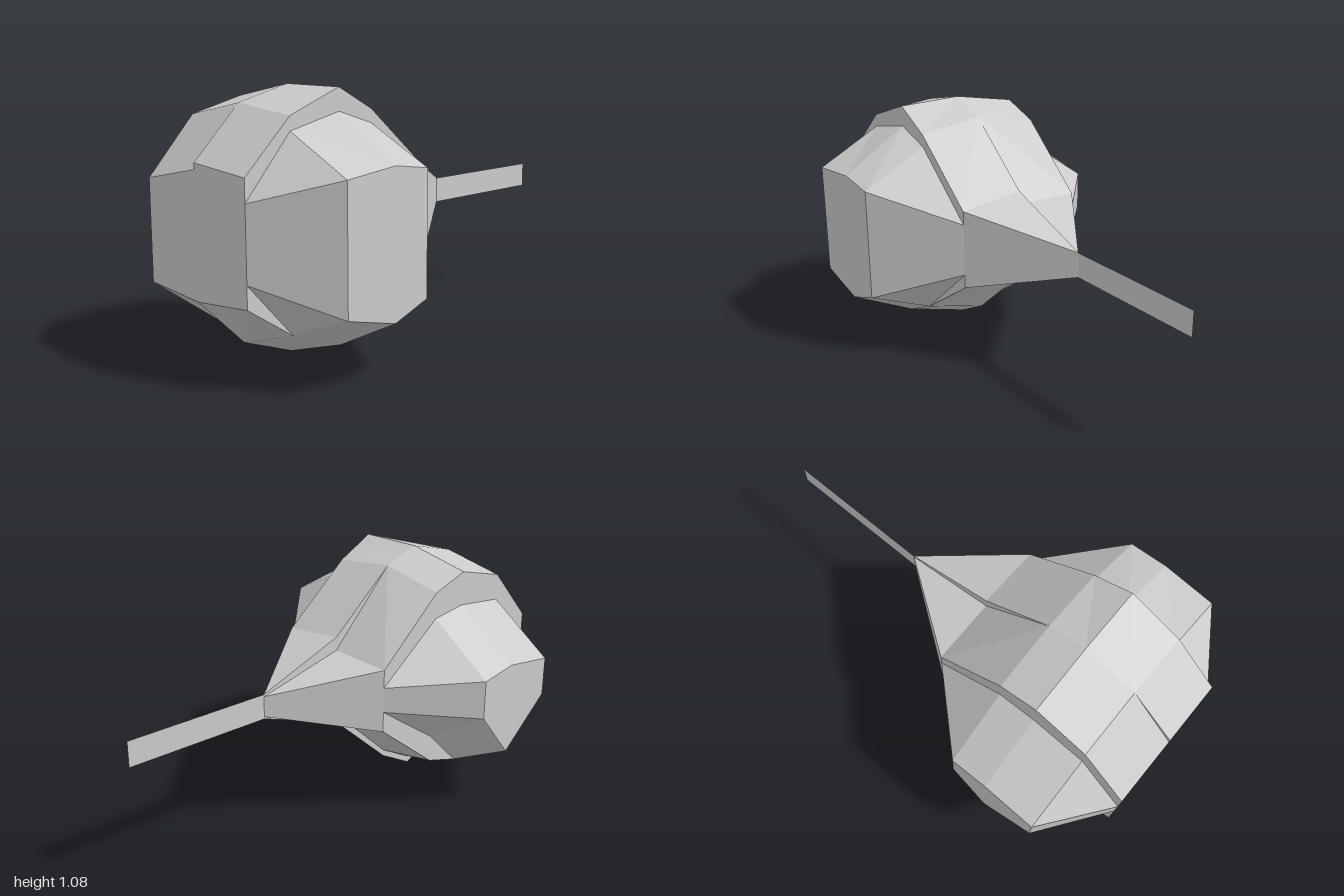
import * as THREE from 'three';

// z of the cross rows, front to back
const ROWS = [1, 0.79, 0.55, 0.38, 0.07, -0.34];
const material = new THREE.MeshStandardMaterial({ color: 0xcccccc, flatShading: true, side: THREE.DoubleSide });

// A rib is a lengthwise outline at one x: first row plus [bottom, top] per row
function rib(x, first, heights) {
  return heights.map(([bottom, top], i) => ({
    bottom: new THREE.Vector3(x, bottom, ROWS[first + i]),
    top: new THREE.Vector3(x, top, ROWS[first + i]),
  }));
}

const ribs = {
  leftOuter: rib(0.58, 1, [[0.295, 0.79], [0.235, 0.815], [0.295, 0.79]]),
  leftInner: rib(0.29, 0, [[0.41, 0.7], [0.18, 0.935], [0.09, 0.99], [0.17, 0.935], [0.44, 0.67]]),
  leftMiddle: rib(0.29, 0, [[0.32, 0.79], [0.18, 0.99], [0.09, 1.08], [0.17, 0.99], [0.38, 0.73]]),
  leftCentre: rib(0, 0, [[0.295, 0.815], [0.09, 1.02], [0, 1.08], [0.09, 1.02], [0.36, 0.76], [0.5, 0.61]]),
  rightCentre: rib(0, 0, [[0.295, 0.79], [0.12, 1.02], [0.03, 1.08], [0.12, 1.02], [0.4, 0.7], [0.51, 0.6]]),
  rightMiddle: rib(-0.29, 0, [[0.32, 0.73], [0.17, 0.96], [0.12, 1.02], [0.17, 0.96], [0.41, 0.69]]),
  rightInner: rib(-0.29, 0, [[0.5, 0.61], [0.29, 0.845], [0.12, 0.87], [0.29, 0.845], [0.5, 0.61]]),
  rightOuter: rib(-0.58, 1, [[0.47, 0.64], [0.265, 0.67], [0.47, 0.64]]),
};

// Collects polygons into a flat-shaded mesh; the mirrored side flips the winding
function facetMesh(name, side, build) {
  const positions = [];
  build((...corners) => {
    for (let i = 1; i < corners.length - 1; i++) {
      const [p, q, r] = [corners[0], corners[i], corners[i + 1]];
      if (new THREE.Triangle(p, q, r).getArea() < 1e-6) continue;
      for (const v of side > 0 ? [p, q, r] : [p, r, q]) positions.push(v.x, v.y, v.z);
    }
  });
  const geometry = new THREE.BufferGeometry();
  geometry.setAttribute('position', new THREE.Float32BufferAttribute(positions, 3));
  geometry.computeVertexNormals();
  const mesh = new THREE.Mesh(geometry, material);
  mesh.name = name;
  return mesh;
}

// Skin between an inner and an outer rib, with the walls along the outline
function segment(name, side, inner, outer, hasOuterWall) {
  return facetMesh(name, side, (face) => {
    const wall = (p, q) => face(p.bottom, q.bottom, q.top, p.top);
    const at = (list, z) => list.find((p) => p.bottom.z === z);
    for (let i = 0; i < ROWS.length - 1; i++) {
      const a = at(inner, ROWS[i]), b = at(inner, ROWS[i + 1]);
      const c = at(outer, ROWS[i]), d = at(outer, ROWS[i + 1]);
      const loop = [a, c, d, b].filter(Boolean);
      if (loop.length < 3) continue;
      face(...loop.map((p) => p.top));
      face(...loop.map((p) => p.bottom).reverse());
      if (hasOuterWall && c && d) wall(c, d);
    }
    wall(inner[0], outer[0]);
    wall(outer.at(-1), inner.at(-1));
  });
}

// Narrow sidewalls where a larger rib stands proud of a smaller one
function step(name, side, small, large) {
  return facetMesh(name, side, (face) => {
    for (let i = 0; i < small.length - 1; i++) {
      const [s, t, l, m] = [small[i], small[i + 1], large[i], large[i + 1]];
      face(s.top, t.top, m.top, l.top);
      face(l.bottom, m.bottom, t.bottom, s.bottom);
    }
  });
}

export function createModel() {
  const model = new THREE.Group();
  model.name = 'facetedBody';

  // Four lengthwise body segments
  model.add(
    segment('leftFlank', 1, ribs.leftInner, ribs.leftOuter, true),
    segment('leftBody', 1, ribs.leftCentre, ribs.leftMiddle, false),
    segment('rightBody', -1, ribs.rightCentre, ribs.rightMiddle, false),
    segment('rightFlank', -1, ribs.rightInner, ribs.rightOuter, true),
  );

  // Slanted rear walls and the steps between segments
  model.add(
    step('leftStep', 1, ribs.leftInner, ribs.leftMiddle),
    step('centreStep', -1, ribs.rightCentre, ribs.leftCentre),
    step('rightStep', -1, ribs.rightInner, ribs.rightMiddle),
  );

  // Thin upright strip trailing behind
  const tail = new THREE.Mesh(new THREE.PlaneGeometry(0.66, 0.11), material);
  tail.name = 'tail';
  tail.rotation.y = Math.PI / 2;
  tail.position.set(0, 0.555, -0.67);
  model.add(tail);

  return model;
}
